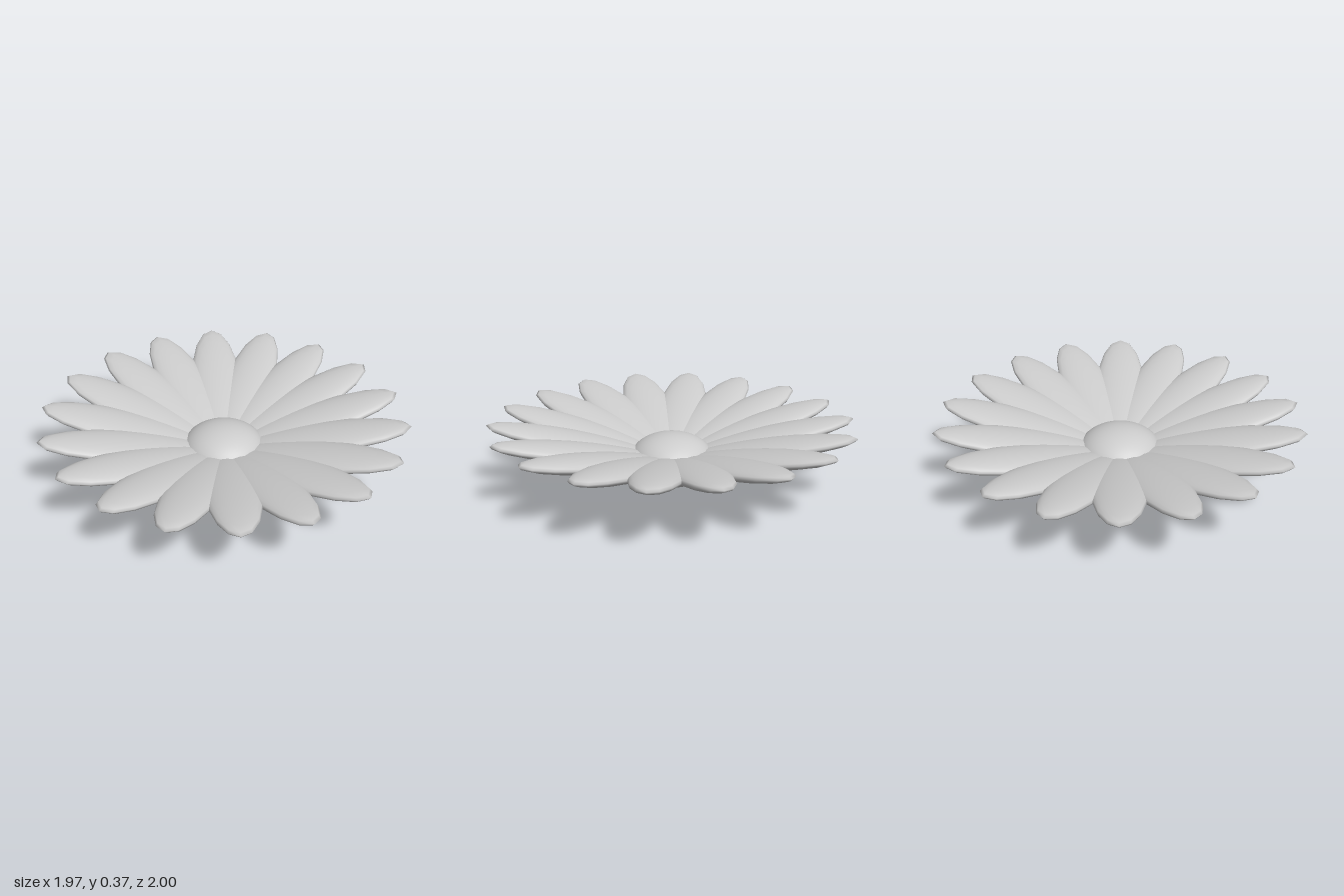
import * as THREE from 'three';

const PETALS = 18;

export function createModel() {
  const flower = new THREE.Group();
  flower.name = 'flower';
  const grey = new THREE.MeshStandardMaterial({ color: 0xcccccc });
  grey.name = 'light grey';

  // Rounded centre, domed above and below the petals
  const hubShape = new THREE.SphereGeometry(1, 40, 24);
  hubShape.scale(0.232, 0.145, 0.232);
  hubShape.translate(0, 0.145, 0);
  const hub = new THREE.Mesh(hubShape, grey);
  hub.name = 'flowerCentre';
  flower.add(hub);

  // One petal: a flattened, stretched sphere tilted up towards its tip
  const petalShape = new THREE.SphereGeometry(1, 16, 12);
  petalShape.scale(0.143, 0.045, 0.47);
  petalShape.rotateX(-0.207);
  petalShape.translate(0, 0.261, 0.54);

  // Ring of overlapping petals
  const ring = new THREE.Group();
  ring.name = 'petals';
  for (let i = 0; i < PETALS; i++) {
    const petal = new THREE.Mesh(petalShape, grey);
    petal.name = `petal${i + 1}`;
    petal.rotation.y = (i / PETALS) * Math.PI * 2;
    ring.add(petal);
  }
  flower.add(ring);
  return flower;
}
